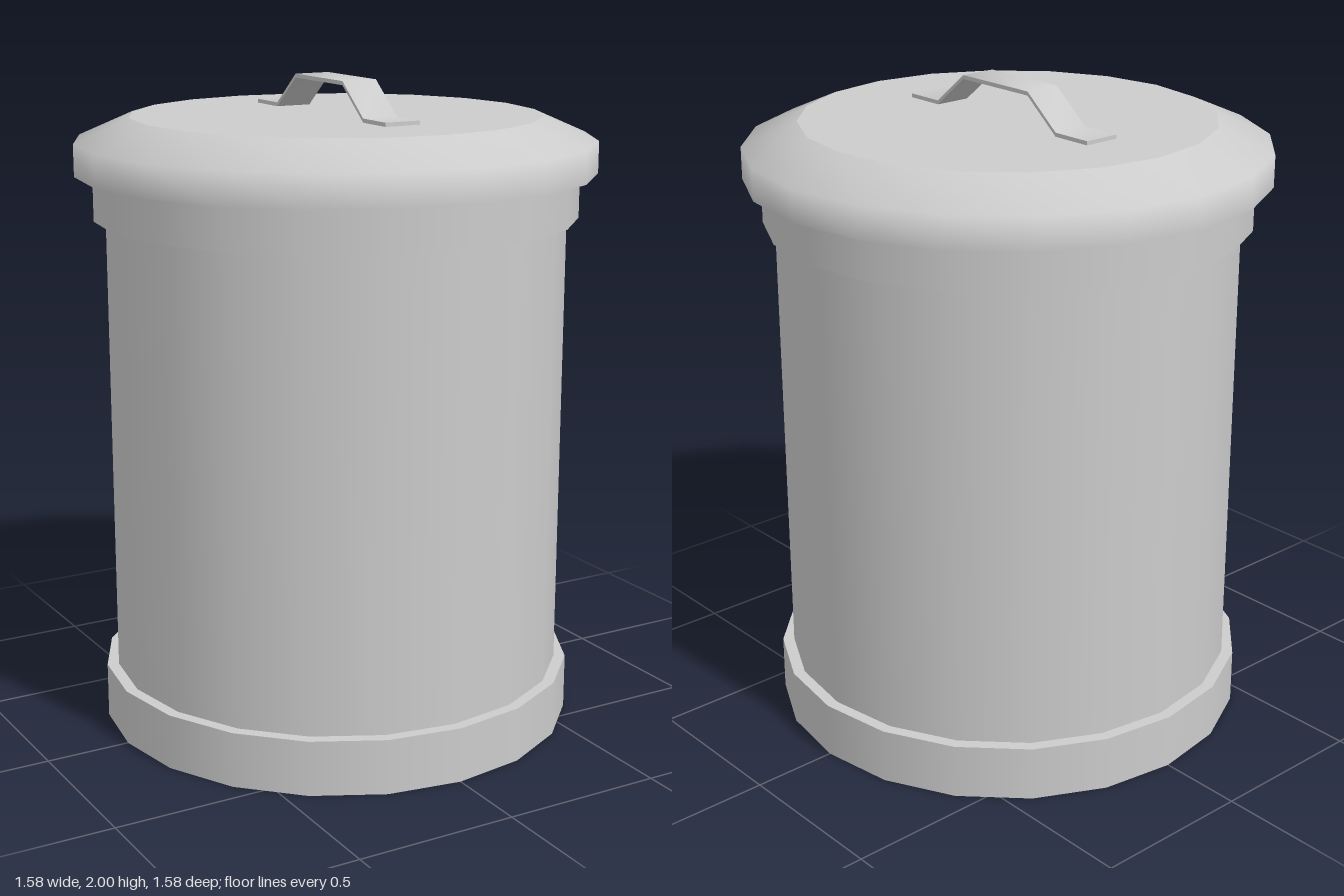
import * as THREE from 'three';
import { mergeGeometries, toCreasedNormals } from 'three/addons/utils/BufferGeometryUtils.js';

const SIDES = 20;
const material = new THREE.MeshStandardMaterial({ color: 0xcccccc });

// Turned part: each run of [radius, height] points is smooth, with a sharp edge between runs.
function turned(name, ...runs) {
  const parts = runs.map((run) =>
    new THREE.LatheGeometry(run.map(([r, y]) => new THREE.Vector2(r, y)), SIDES));
  const mesh = new THREE.Mesh(mergeGeometries(parts), material);
  mesh.name = name;
  return mesh;
}

// Straight hoop with flat closed ends.
function hoop(name, radius, y0, y1) {
  return turned(name,
    [[0, y0], [radius, y0]],
    [[radius, y0], [radius, y1]],
    [[radius, y1], [0, y1]]);
}

// Bent strap with level feet and a raised grip.
function strapHandle() {
  const path = [[-0.4, 1.89], [-0.27, 1.89], [-0.15, 1.988], [0.135, 1.988], [0.255, 1.89], [0.38, 1.89]];
  const thickness = 0.012;
  const lower = path.map(([z, y]) => new THREE.Vector2(z, y));
  const upper = path.map(([z, y]) => new THREE.Vector2(z, y + thickness)).reverse();
  const geometry = new THREE.ExtrudeGeometry(new THREE.Shape([...lower, ...upper]), {
    depth: 0.115, bevelEnabled: false,
  });
  geometry.rotateY(-Math.PI / 2).translate(0.06, 0, 0);
  const mesh = new THREE.Mesh(toCreasedNormals(geometry, 0.9), material);
  mesh.name = 'lidHandle';
  return mesh;
}

export function createModel() {
  const bin = new THREE.Group();
  bin.name = 'dustbin';
  bin.add(
    hoop('baseBand', 0.738, 0, 0.17),
    // Body wall between the two bands
    turned('body', [[0.702, 0.17], [0.702, 1.59]]),
    hoop('upperBand', 0.738, 1.585, 1.72),
    // Lid: underside, rim with sloped shoulder, flat top
    turned('lid',
      [[0, 1.72], [0.792, 1.72]],
      [[0.792, 1.72], [0.792, 1.817], [0.625, 1.89]],
      [[0.625, 1.89], [0, 1.89]]),
    strapHandle(),
  );
  return bin;
}
